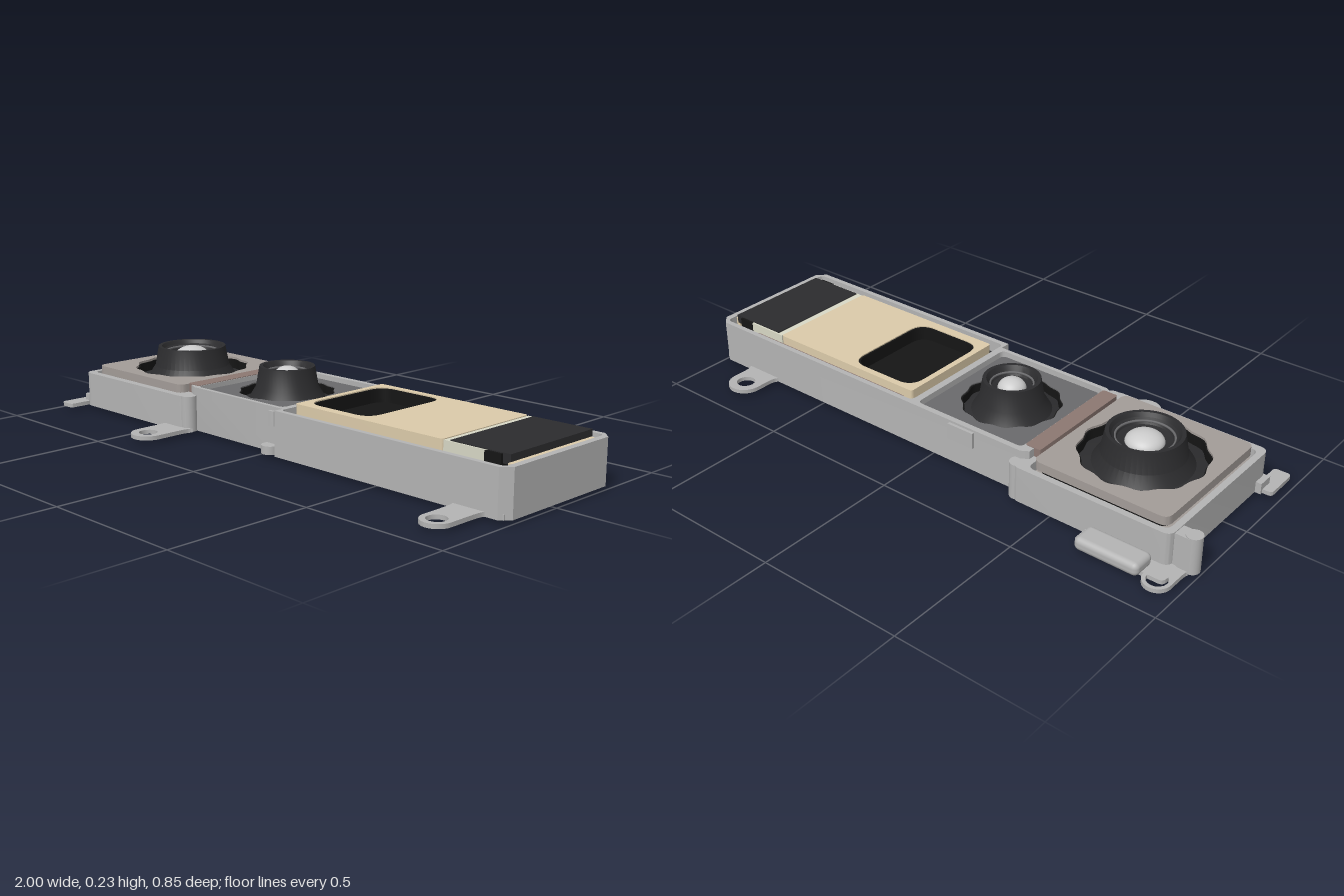
import * as THREE from 'three';
import { toCreasedNormals } from 'three/addons/utils/BufferGeometryUtils.js';
import { RoundedBoxGeometry } from 'three/addons/geometries/RoundedBoxGeometry.js';

const mat = (color) => new THREE.MeshStandardMaterial({ color, side: THREE.DoubleSide });
const METAL = mat(0xb4b4b4), BEZEL = mat(0xa39c98), DARK = mat(0x6a6a6c), BLACK = mat(0x151515);
const CHARCOAL = mat(0x2c2c2e), BEIGE = mat(0xdccbaa), PALE = mat(0xd8d8c6), BROWN = mat(0x8c7872), GLASS = mat(0xd6d6d6);

// Rounded rectangle in plan: x0..x1, z0..z1
function rect(x0, x1, z0, z1, r = 0.02, Type = THREE.Shape) {
  const s = new Type();
  s.moveTo(x0 + r, z0);
  s.lineTo(x1 - r, z0); s.quadraticCurveTo(x1, z0, x1, z0 + r);
  s.lineTo(x1, z1 - r); s.quadraticCurveTo(x1, z1, x1 - r, z1);
  s.lineTo(x0 + r, z1); s.quadraticCurveTo(x0, z1, x0, z1 - r);
  s.lineTo(x0, z0 + r); s.quadraticCurveTo(x0, z0, x0 + r, z0);
  return s;
}

function circle(x, z, r) {
  return new THREE.Path().absarc(x, z, r, 0, Math.PI * 2);
}

// Scalloped opening around a lens
function scallop(x, z, r) {
  const pts = [];
  for (let i = 0; i < 72; i++) {
    const a = i / 72 * Math.PI * 2, k = r * (0.975 + 0.025 * Math.cos(a * 12));
    pts.push(new THREE.Vector2(x + Math.cos(a) * k, z + Math.sin(a) * k));
  }
  return new THREE.Path(pts);
}

export function createModel() {
  const model = new THREE.Group();

  const add = (name, geometry, material, parent = model) => {
    const m = new THREE.Mesh(geometry, material);
    m.name = name;
    parent.add(m);
    return m;
  };
  // Plan shape extruded between heights y0 and y1
  const plate = (name, shape, y0, y1, material, holes = [], parent = model) => {
    shape.holes.push(...holes);
    const g = new THREE.ExtrudeGeometry(shape, { depth: y1 - y0, bevelEnabled: false, curveSegments: 8 });
    g.rotateX(Math.PI / 2).translate(0, y1, 0);
    return add(name, toCreasedNormals(g, 0.6), material, parent);
  };
  const box = (name, x0, x1, y0, y1, z0, z1, material, parent = model) => {
    const g = new THREE.BoxGeometry(x1 - x0, y1 - y0, z1 - z0);
    g.translate((x0 + x1) / 2, (y0 + y1) / 2, (z0 + z1) / 2);
    return add(name, g, material, parent);
  };
  const hole = (x0, x1, z0, z1, r) => rect(x0, x1, z0, z1, r, THREE.Path);

  // Housing: wide bay at the left, then the stepped long bay
  const housing = new THREE.Group();
  housing.name = 'housing';
  model.add(housing);
  plate('wideBayWall', rect(-0.925, -0.36, -0.32, 0.245, 0.03), 0.012, 0.135, METAL,
    [hole(-0.903, -0.407, -0.298, 0.218, 0.025)], housing);
  const longBay = new THREE.Shape();
  longBay.moveTo(-0.385, -0.26);
  [[-0.36, -0.275], [0.97, -0.275], [1, -0.245], [1, 0.205], [0.97, 0.235], [0.085, 0.235],
    [0.085, 0.2], [-0.35, 0.2], [-0.385, 0.185]].forEach(([x, z]) => longBay.lineTo(x, z));
  plate('longBayWall', longBay, 0.012, 0.163, METAL,
    [hole(-0.35, 0.07, -0.255, 0.185), hole(0.095, 0.978, -0.257, 0.217)], housing);
  plate('longBayFloor', rect(-0.37, 0.99, -0.265, 0.195, 0.01), 0.012, 0.03, METAL,
    [hole(0.105, 0.965, -0.25, 0.18, 0.01)], housing);
  box('frontFloorStrip', 0.09, 0.985, 0.012, 0.03, 0.18, 0.225, METAL, housing);
  for (const z of [-0.29, 0.215]) {
    const fillet = new THREE.CylinderGeometry(0.028, 0.028, 0.123, 16);
    add('stepFillet', fillet, METAL, housing).position.set(-0.365, 0.0735, z);
  }

  // Mounting tabs with screw holes: dir points away from the body
  const tab = (name, x, z, r, hr, dir, reach, flare) => {
    const s = new THREE.Shape();
    const zr = z - dir * reach;
    s.moveTo(x - r - flare, zr);
    s.quadraticCurveTo(x - r, zr, x - r, zr + dir * reach * 0.45);
    s.lineTo(x - r, z);
    s.absarc(x, z, r, Math.PI, 0, dir > 0);
    s.lineTo(x + r, zr + dir * reach * 0.45);
    s.quadraticCurveTo(x + r, zr, x + r + flare, zr);
    plate(name, s, 0.012, 0.026, METAL, [circle(x, z, hr)], housing);
  };
  tab('frontMiddleTab', -0.4, 0.365, 0.058, 0.032, 1, 0.135, 0.012);
  tab('frontEndTab', 0.87, 0.37, 0.05, 0.032, 1, 0.14, 0.012);
  tab('backEndTab', 0.785, -0.362, 0.06, 0.032, -1, 0.095, 0.035);
  tab('backCornerTab', -0.93, -0.385, 0.045, 0.033, -1, 0.08, 0.005);
  plate('frontCornerTab', rect(-0.978, -0.918, 0.19, 0.318, 0.015), 0.012, 0.026, METAL, [], housing);
  box('frontCornerRib', -0.945, -0.915, 0.012, 0.05, 0.18, 0.235, METAL, housing);
  plate('backLedge', rect(-0.95, -0.64, -0.385, -0.3, 0.02), 0.012, 0.026, METAL, [], housing);
  add('backBlock', new RoundedBoxGeometry(0.22, 0.045, 0.087, 3, 0.018), METAL, housing)
    .position.set(-0.77, 0.04, -0.372);

  // Locating post at the left corner and small peg at the front
  add('cornerPost', new THREE.CylinderGeometry(0.026, 0.026, 0.123, 20), METAL, housing)
    .position.set(-0.974, 0.0735, -0.272);
  box('cornerPostWeb', -0.974, -0.915, 0.012, 0.132, -0.298, -0.25, METAL, housing);
  add('frontPeg', new THREE.CylinderGeometry(0.03, 0.03, 0.028, 20), METAL, housing).position.set(0.04, 0.026, 0.212);
  plate('frontClip', rect(0.027, 0.053, 0.195, 0.21, 0.005), 0.1, 0.15, METAL, [], housing);
  box('backClip', -0.18, -0.08, 0.1, 0.155, -0.285, -0.26, METAL, housing);

  // Lens barrels: flared skirt, cone, stepped recess and a glass dome
  const lens = (name, x, z, skirt, low, top, glass, seat) => {
    const g = new THREE.Group();
    g.name = name;
    g.position.set(x, 0, z);
    model.add(g);
    const profile = [[skirt, seat], [low + 0.025, seat + 0.01], [low, 0.165], [top, 0.235], [top - 0.012, 0.235],
      [top - 0.02, 0.222], [(top + glass) / 2, 0.215], [(top + glass) / 2 - 0.006, 0.205], [glass, 0.198], [0.001, 0.195]];
    const barrel = new THREE.LatheGeometry(profile.map((p) => new THREE.Vector2(...p)), 48);
    add('barrel', toCreasedNormals(barrel, 0.4), CHARCOAL, g);
    const ring = new THREE.TorusGeometry((top + glass) / 2, 0.004, 6, 48).rotateX(Math.PI / 2);
    add('innerRing', ring, DARK, g).position.y = 0.214;
    const dome = new THREE.SphereGeometry(glass, 32, 12, 0, Math.PI * 2, 0, Math.PI / 2).scale(1, 0.036 / glass, 1);
    add('glassDome', dome, GLASS, g).position.y = 0.197;
  };

  // Wide camera
  plate('wideCameraBase', rect(-0.893, -0.417, -0.287, 0.207, 0.03), 0.014, 0.115, BEZEL);
  plate('wideCameraLiner', rect(-0.88, -0.43, -0.275, 0.195, 0.03), 0.115, 0.152, BLACK, [scallop(-0.653, -0.04, 0.203)]);
  plate('wideCameraBezel', rect(-0.893, -0.417, -0.287, 0.207, 0.03), 0.13, 0.16, BEZEL, [scallop(-0.653, -0.04, 0.208)]);
  plate('wideCameraBottom', rect(-0.875, -0.435, -0.27, 0.19, 0.03), 0.008, 0.014, BEZEL);
  lens('wideLens', -0.653, -0.04, 0.205, 0.135, 0.122, 0.062, 0.117);

  // Middle camera
  plate('middleCameraBase', rect(-0.345, 0.063, -0.248, 0.178, 0.02), 0.03, 0.112, DARK);
  plate('middleCameraBezel', rect(-0.345, 0.063, -0.248, 0.178, 0.02), 0.112, 0.148, DARK, [scallop(-0.145, -0.04, 0.167)]);
  plate('middleCameraLiner', rect(-0.335, 0.053, -0.235, 0.165, 0.02), 0.112, 0.144, BLACK, [scallop(-0.145, -0.04, 0.162)]);
  plate('middleCameraSpacer', rect(-0.408, -0.352, -0.238, 0.18, 0.008), 0.1, 0.165, BROWN);
  lens('middleLens', -0.145, -0.04, 0.163, 0.107, 0.095, 0.047, 0.114);

  // Folded camera at the right: shell, rounded window and end cap
  plate('foldedCameraBody', rect(0.112, 0.718, -0.238, 0.17, 0.01), 0.002, 0.12, BEIGE);
  plate('foldedCameraTop', rect(0.112, 0.718, -0.238, 0.17, 0.01), 0.12, 0.18, BEIGE, [hole(0.133, 0.4, -0.215, 0.137, 0.06)]);
  plate('windowLiner', rect(0.13, 0.403, -0.218, 0.14, 0.062), 0.12, 0.176, BLACK, [hole(0.139, 0.394, -0.209, 0.131, 0.058)]);
  plate('windowFloor', rect(0.135, 0.4, -0.213, 0.135, 0.06), 0.12, 0.13, BLACK);
  box('endCap', 0.72, 0.875, 0.002, 0.178, -0.236, 0.168, PALE);
  box('endBlock', 0.87, 0.928, 0, 0.178, -0.238, 0.172, BLACK);
  box('endPanel', 0.742, 0.955, 0.15, 0.181, -0.23, 0.163, CHARCOAL);
  box('endStrip', 0.958, 0.974, 0.03, 0.16, -0.22, 0.18, BEIGE);

  // Spacer strips between the folded camera and the walls
  box('backSpacer', 0.14, 0.83, 0.03, 0.155, -0.256, -0.244, BROWN);
  box('frontSpacer', 0.63, 0.96, 0.03, 0.15, 0.19, 0.205, DARK);
  box('frontCable', 0.11, 0.62, 0.03, 0.14, 0.178, 0.19, CHARCOAL);
  return model;
}
